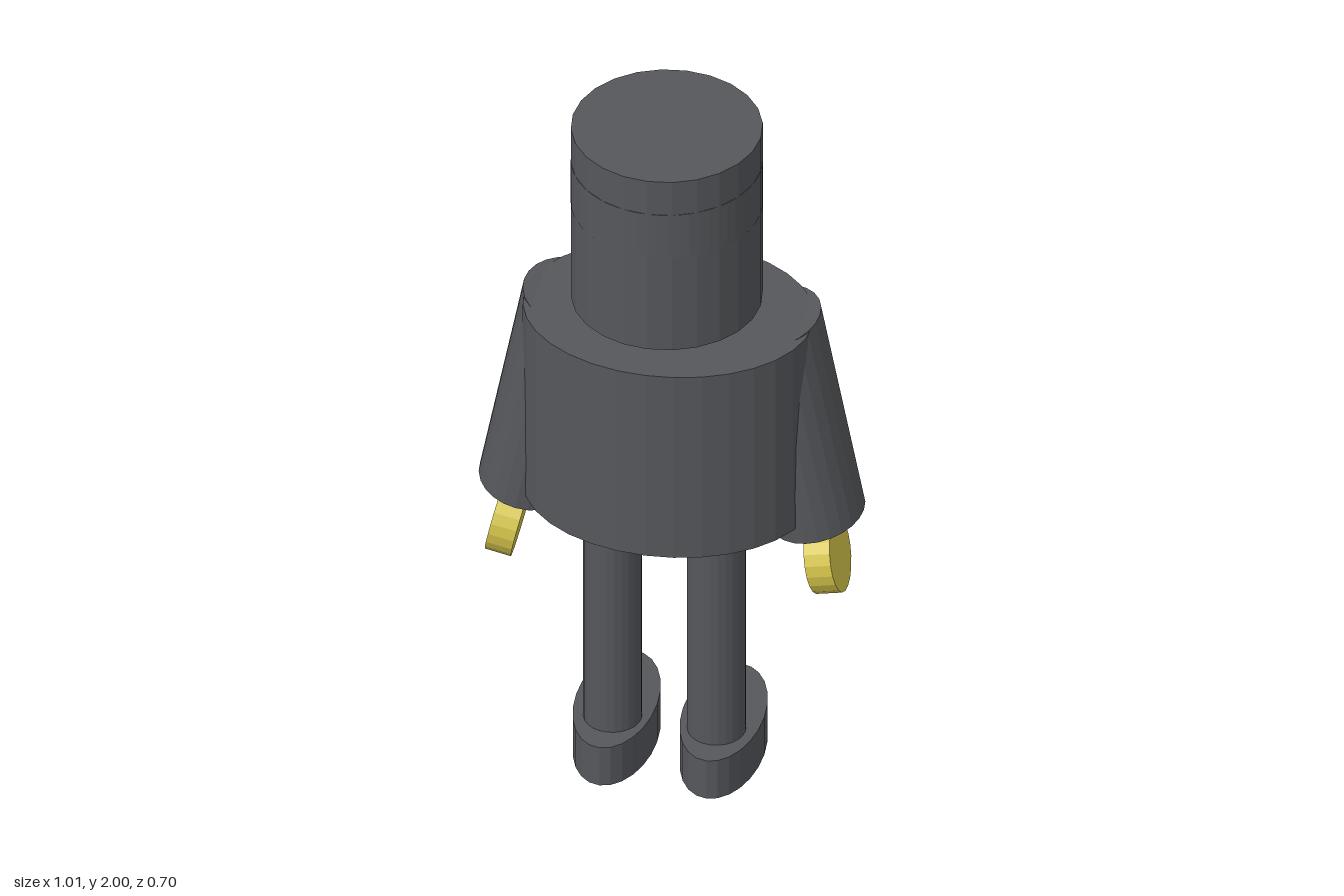
import * as THREE from 'three';

const paint = (color) => new THREE.MeshStandardMaterial({ color, flatShading: true });
const cloth = paint(0x55575b), skin = paint(0xd2c24a), wood = paint(0x94795c);
const steel = paint(0xb0b0b0), strap = paint(0x808080);
const white = new THREE.MeshStandardMaterial({ color: 0xf0f0f0 });
const teal = new THREE.MeshStandardMaterial({ color: 0x1c8ca0 });

function add(parent, name, geometry, material, x = 0, y = 0, z = 0) {
  const mesh = new THREE.Mesh(geometry, material);
  mesh.name = name;
  mesh.position.set(x, y, z);
  parent.add(mesh);
  return mesh;
}

// Upright elliptical cylinder between two heights
function column(parent, name, material, rx, rz, y0, y1, x, z, sides = 24) {
  const geometry = new THREE.CylinderGeometry(1, 1, y1 - y0, sides).scale(rx, 1, rz);
  return add(parent, name, geometry, material, x, (y0 + y1) / 2, z);
}

function makeHead() {
  const head = new THREE.Group();
  head.name = 'head';
  const R = 0.248, inner = 0.19, z = 0.075, slot0 = 1.76, slot1 = 1.895;
  column(head, 'hoodLower', cloth, R, R, 1.465, slot0, 0, z);
  column(head, 'hoodTop', cloth, R, R, slot1, 2, 0, z);

  // Hood wall around the eye slot, open towards -z
  const half = 0.91, a = Math.PI / 2 + half, b = Math.PI * 2.5 - half;
  const wall = new THREE.Shape();
  wall.absarc(0, 0, R, a, b, false);
  wall.absarc(0, 0, inner, b, a, true);
  wall.closePath();
  const band = new THREE.ExtrudeGeometry(wall, { depth: slot1 - slot0, bevelEnabled: false, curveSegments: 20 });
  add(head, 'hoodBand', band.rotateX(-Math.PI / 2), cloth, 0, slot0, z);

  // Face inside the slot
  column(head, 'face', skin, inner, inner, slot0, slot1, 0, z);
  for (const s of [-1, 1]) {
    add(head, 'eye', new THREE.SphereGeometry(0.027, 16, 12), white, s * 0.093, 1.797, -0.087);
    add(head, 'pupil', new THREE.SphereGeometry(0.013, 12, 8), teal, s * 0.093, 1.8, -0.114);
  }
  add(head, 'nose', new THREE.ConeGeometry(0.014, 0.03, 8), skin, 0, 1.777, -0.114);

  column(head, 'collar', cloth, 0.15, 0.15, 1.39, 1.475, 0, 0);
  column(head, 'neck', skin, 0.088, 0.088, 1.39, 1.475, 0, z);
  return head;
}

function makeArm(s) {
  const arm = new THREE.Group();
  arm.name = s > 0 ? 'leftArm' : 'rightArm';
  const sleeve = column(arm, 'sleeve', cloth, 0.125, 0.145, 0.775, 1.39, s * 0.325, 0.01);
  sleeve.rotation.z = s * 0.19;
  // Disc-shaped hand
  const disc = new THREE.CylinderGeometry(0.098, 0.098, 0.07, 20).rotateZ(Math.PI / 2);
  const hand = add(arm, 'hand', disc, skin, s * 0.42, 0.682, 0.06);
  hand.rotation.z = s * 0.21;
  return arm;
}

function makeLeg(s) {
  const leg = new THREE.Group();
  leg.name = s > 0 ? 'leftLeg' : 'rightLeg';
  column(leg, 'shin', cloth, 0.076, 0.078, 0.11, 0.83, s * 0.137, 0.102);
  column(leg, 'foot', cloth, 0.107, 0.218, 0, 0.12, s * 0.141, 0.033);
  return leg;
}

function makeSword() {
  const sword = new THREE.Group();
  sword.name = 'sword';
  add(sword, 'guard', new THREE.BoxGeometry(0.145, 0.05, 0.085), wood);
  add(sword, 'grip', new THREE.BoxGeometry(0.045, 0.15, 0.045), wood, 0, 0.09, 0);
  // Blade with a centred point
  const outline = new THREE.Shape([[-0.026, 0], [-0.026, -0.37], [0, -0.46], [0.026, -0.37], [0.026, 0]]
    .map(([x, y]) => new THREE.Vector2(x, y)));
  const blade = new THREE.ExtrudeGeometry(outline, { depth: 0.045, bevelEnabled: false });
  add(sword, 'blade', blade.translate(0, 0, -0.0225), steel);
  sword.position.set(-0.2, 1.15, -0.24);
  sword.rotation.set(0, Math.PI + 0.61, -0.3);
  return sword;
}

export function createModel() {
  const model = new THREE.Group();
  model.name = 'hoodedFighter';
  model.add(makeHead());
  column(model, 'torso', cloth, 0.38, 0.3, 0.825, 1.4, 0, 0.05, 32);
  for (const s of [-1, 1]) model.add(makeArm(s), makeLeg(s));

  // Thin hoop that carries the sword
  const hoop = new THREE.TorusGeometry(0.304, 0.005, 6, 24).rotateX(Math.PI / 2);
  add(model, 'belt', hoop, strap, -0.005, 1.03, -0.04);
  model.add(makeSword());
  return model;
}
